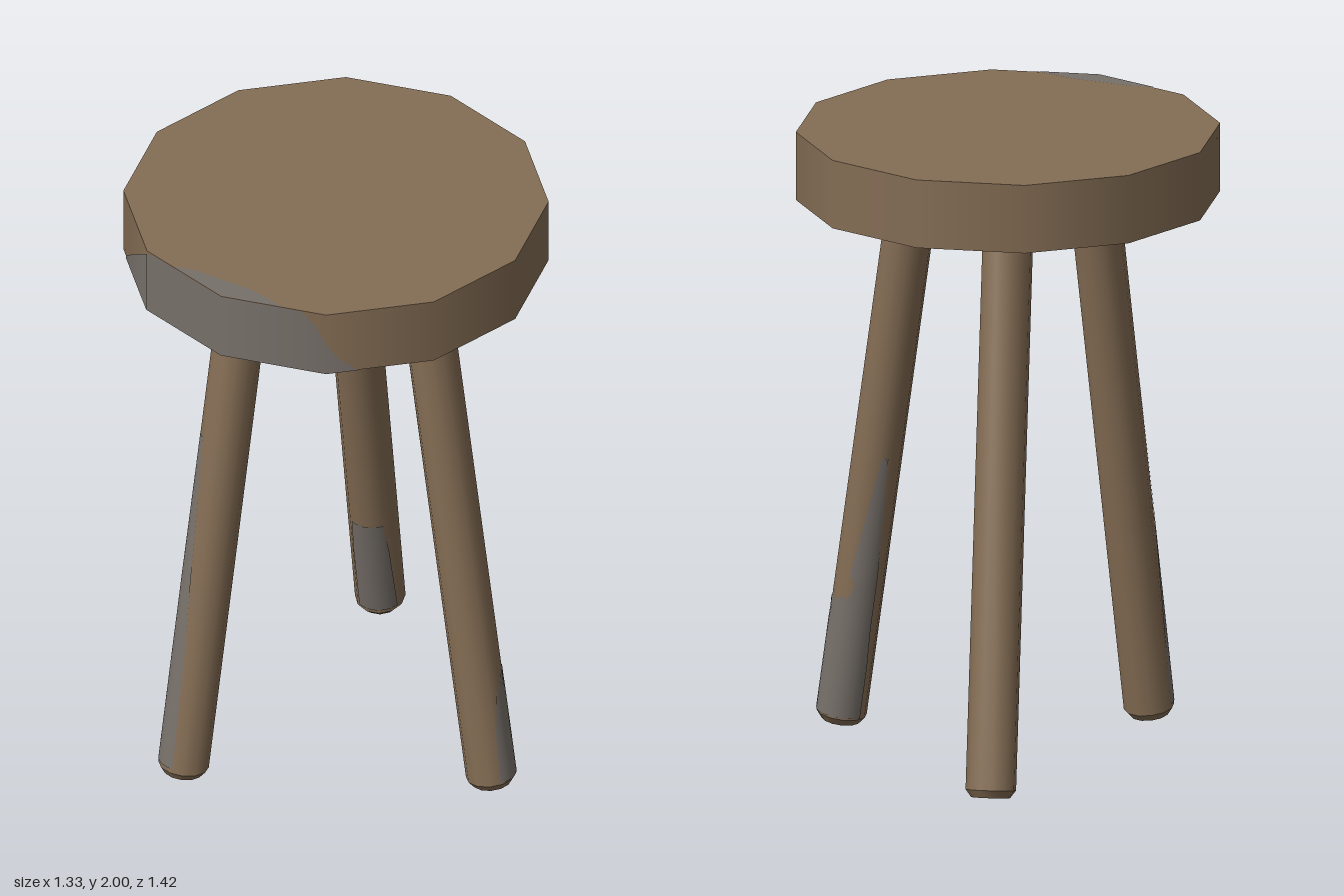
import * as THREE from 'three';
import { toCreasedNormals } from 'three/addons/utils/BufferGeometryUtils.js';

const SEAT_R = 0.663, SEAT_Z = 0.045, SEAT_BOTTOM = 1.78, SEAT_TOP = 2;
const LEG_R = 0.079;

// Ruled strip between two matching rows of [position, normal] pairs
function strip(pairs) {
  const pos = [], nor = [], idx = [];
  pairs.forEach(([low, high, normal], i) => {
    pos.push(...low, ...high);
    nor.push(...normal, ...normal);
    if (i) {
      const b = 2 * i;
      idx.push(b - 2, b, b - 1, b - 1, b, b + 1);
    }
  });
  const g = new THREE.BufferGeometry();
  g.setAttribute('position', new THREE.Float32BufferAttribute(pos, 3));
  g.setAttribute('normal', new THREE.Float32BufferAttribute(nor, 3));
  g.setIndex(idx);
  return g;
}

// Front z of the twelve-sided seat rim at a given x
function rimZ(x) {
  const corners = [-1, -0.866, -0.5, 0, 0.5, 0.866, 1].map((c) => c * SEAT_R);
  const i = Math.max(1, corners.findIndex((c) => c >= x));
  const z = (c) => Math.sqrt(Math.max(0, SEAT_R ** 2 - c * c));
  const t = (x - corners[i - 1]) / (corners[i] - corners[i - 1]);
  return SEAT_Z + THREE.MathUtils.lerp(z(corners[i - 1]), z(corners[i]), t);
}

// Worn patch wrapped around a leg; rows are [height, start angle, end angle], 0 = front, 90 = +x
function legPatch(rows) {
  const g = new THREE.BufferGeometry();
  const pos = [], nor = [], idx = [], n = 14;
  rows.forEach(([y, a0, a1], r) => {
    for (let k = 0; k <= n; k++) {
      const a = THREE.MathUtils.degToRad(a0 + ((a1 - a0) * k) / n);
      pos.push((LEG_R + 0.002) * Math.sin(a), y, (LEG_R + 0.002) * Math.cos(a));
      nor.push(Math.sin(a), 0, Math.cos(a));
      if (r && k) {
        const d = r * (n + 1) + k, b = d - n - 1;
        idx.push(b - 1, b, d - 1, d - 1, b, d);
      }
    }
  });
  g.setAttribute('position', new THREE.Float32BufferAttribute(pos, 3));
  g.setAttribute('normal', new THREE.Float32BufferAttribute(nor, 3));
  g.setIndex(idx);
  return g;
}

export function createModel() {
  const wood = new THREE.MeshStandardMaterial({ color: 0x846d54 });
  wood.name = 'brownWood';
  const worn = new THREE.MeshStandardMaterial({ color: 0x77706a });
  worn.name = 'greyWornWood';

  const model = new THREE.Group();
  model.name = 'stool';
  const add = (parent, name, geometry, material) => {
    const mesh = new THREE.Mesh(geometry, material);
    mesh.name = name;
    parent.add(mesh);
    return mesh;
  };

  // Seat
  const seat = add(model, 'seat',
    new THREE.CylinderGeometry(SEAT_R, SEAT_R, SEAT_TOP - SEAT_BOTTOM, 12), wood);
  seat.position.set(0, (SEAT_TOP + SEAT_BOTTOM) / 2, SEAT_Z);

  // Worn area on the seat rim: [x, upper height]
  const rim = [[-0.65, 1.79], [-0.62, 1.87], [-0.574, 1.99], [-0.55, 2], [-0.3315, 2],
    [-0.08, 2], [-0.03, 1.95], [0, 1.89], [0.04, 1.83], [0.1, 1.78]];
  add(model, 'seatRimWear', strip(rim.map(([x, top]) => {
    const z = rimZ(x), n = new THREE.Vector3(x, 0, z - SEAT_Z).normalize();
    const px = x + n.x * 0.003, pz = z + n.z * 0.003;
    return [[px, SEAT_BOTTOM, pz], [px, top, pz], n.toArray()];
  })), worn);

  // Worn areas on the seat top and underside: [x, inner z]
  const topWear = [[-0.49, 0.46], [-0.42, 0.48], [-0.3315, 0.53], [-0.24, 0.58], [-0.14, 0.669]];
  add(model, 'seatTopWear', strip(topWear.map(([x, z]) =>
    [[x, SEAT_TOP + 0.002, rimZ(x)], [x, SEAT_TOP + 0.002, z], [0, 1, 0]])), worn);
  const underWear = [[-0.62, 0.2], [-0.574, 0.28], [-0.3315, 0.5], [0, 0.62], [0.1, 0.679]];
  add(model, 'seatUndersideWear', strip(underWear.map(([x, z]) =>
    [[x, SEAT_BOTTOM - 0.002, z], [x, SEAT_BOTTOM - 0.002, rimZ(x)], [0, -1, 0]])), worn);

  // Splayed legs with a small chamfer at the foot
  const legs = [
    { name: 'rightFrontLeg', foot: [-0.465, 0.013, 0.325], top: [-0.277, 1.745, 0.138],
      wear: [[0.04, -125, -25], [0.4, -115, -30], [0.7, -100, -40], [1.2, -80, -60]] },
    { name: 'leftFrontLeg', foot: [0.5, 0.013, 0.338], top: [0.285, 1.745, 0.197],
      wear: [[0.03, 25, 220], [0.2, 30, 220], [0.33, 45, 215], [0.4, 75, 215],
        [0.5, 150, 215], [0.9, 185, 200]] },
    { name: 'backLeg', foot: [0.108, 0.025, -0.636], top: [0.022, 1.727, -0.232],
      wear: [[0.04, -50, 45], [0.3, -55, 35], [0.42, -50, 25]] },
  ];
  for (const { name, foot, top, wear } of legs) {
    const base = new THREE.Vector3(...foot);
    const axis = new THREE.Vector3(...top).sub(base);
    const length = axis.length();
    const group = new THREE.Group();
    group.name = name;
    group.position.copy(base);
    group.quaternion.setFromUnitVectors(new THREE.Vector3(0, 1, 0), axis.normalize());
    model.add(group);

    const profile = [[0, 0], [0.061, 0], [LEG_R, 0.024], [LEG_R, length], [0, length]]
      .map(([r, y]) => new THREE.Vector2(r, y));
    add(group, name + 'Post', toCreasedNormals(new THREE.LatheGeometry(profile, 12), 0.6), wood);
    add(group, name + 'Wear', legPatch(wear), worn);
  }
  return model;
}
